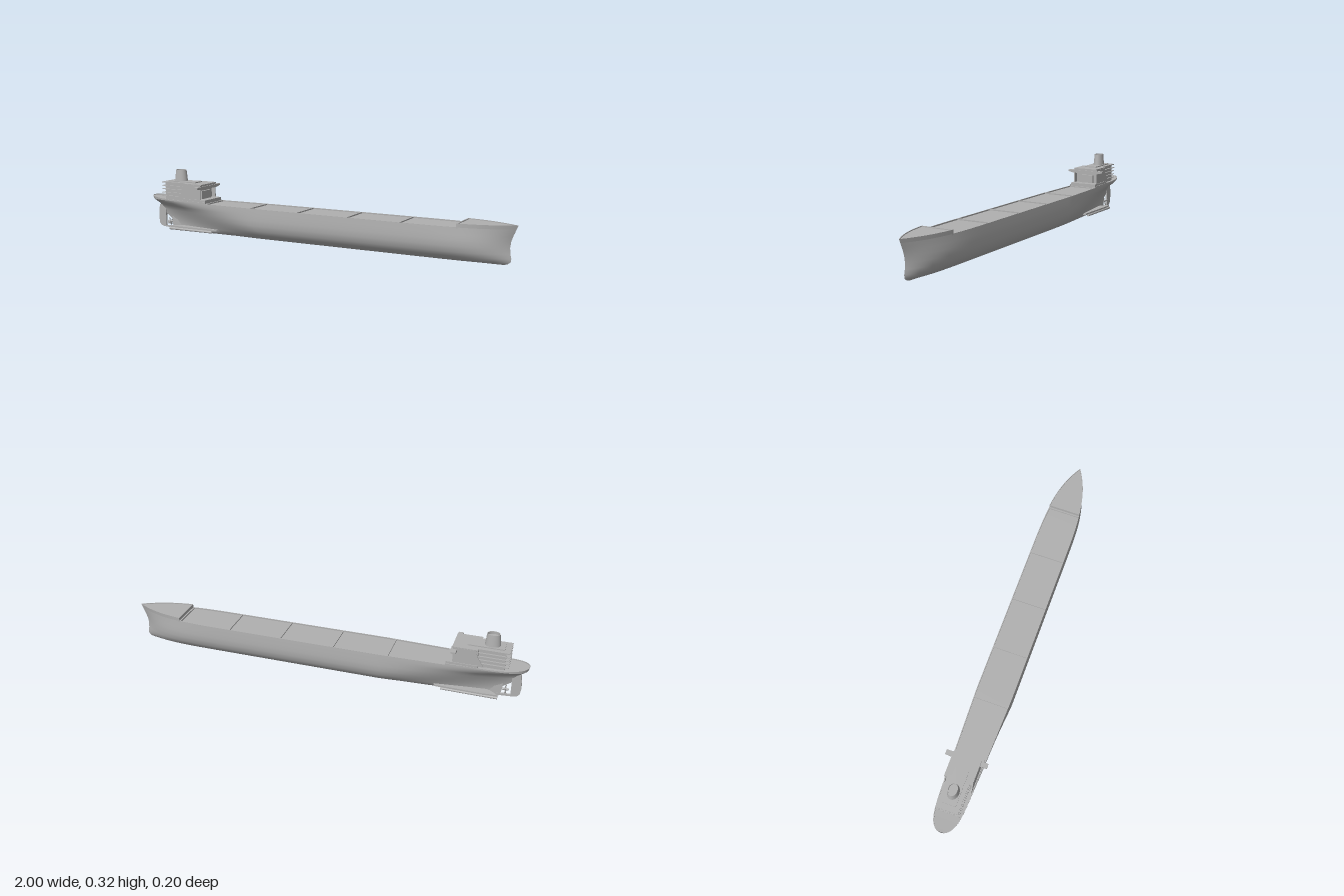
import * as THREE from 'three';

const grey = new THREE.MeshStandardMaterial({ color: 0xb0b0b0, side: THREE.DoubleSide });
grey.name = 'ship grey';

// Waterlines: height, half beam, stern x, stem x, stern p, stern q, stern taper, bow p
const LINES = [
  [0.000, 0.004, -0.87, 0.940, 6.0, 1.0, 0.0, 5.0],
  [0.005, 0.032, -0.87, 0.958, 1.6, 1.0, 0.4, 5.0],
  [0.014, 0.050, -0.87, 0.970, 1.5, 1.0, 0.5, 5.0],
  [0.030, 0.068, -0.87, 0.973, 1.5, 1.0, 0.5, 5.0],
  [0.052, 0.083, -0.88, 0.968, 1.6, 1.0, 0.5, 4.8],
  [0.080, 0.091, -0.92, 0.966, 2.0, 1.0, 0.4, 4.6],
  [0.108, 0.092, -0.945, 0.970, 2.6, 1.0, 0.35, 4.4],
  [0.132, 0.091, -0.962, 0.978, 4.0, 0.9, 0.3, 4.1],
  [0.150, 0.090, -0.982, 0.986, 8.0, 0.6, 0.26, 3.9],
  [0.165, 0.089, -0.995, 0.992, 14, 0.5, 0.25, 3.8],
];
const RAIL = LINES[LINES.length - 1];
const TOP = [0.183, 0.089, -1.0, 1.0, 14, 0.5, 0.25, 3.8];

// Half beam of a waterline at x
function halfBeam([, beam, stern, stem, p, q, c, bowP], x) {
  if (x < -0.3) {
    const t = Math.min(1, (-0.3 - x) / (-0.3 - stern));
    return beam * Math.pow(Math.max(0, 1 - Math.pow(t, p)), q) * (1 - c * t);
  }
  if (x > 0.45) {
    const t = Math.min(1, (x - 0.45) / (stem - 0.45));
    return beam * (1 - Math.pow(t, bowP));
  }
  return beam;
}

// Point on a waterline; u runs from x = a to x = b, cut off at stern and stem
function linePoint(line, u, a, b, side, inset = 0, y = line[0]) {
  const x0 = Math.max(a, line[2] + inset), x1 = Math.min(b, line[3] - inset * 2);
  const x = x0 + (x1 - x0) * (1 - Math.cos(Math.PI * u)) / 2;
  const z = Math.max(0, halfBeam(line, x) - inset);
  return [x, typeof y === 'function' ? y(x) : y, side * z];
}

// Surface from a grid of points: at(i, u) for column i and station u
function grid(columns, stations, at) {
  const pos = [], index = [];
  for (let s = 0; s <= stations; s++)
    for (let i = 0; i < columns; i++) pos.push(...at(i, s / stations));
  for (let s = 0; s < stations; s++)
    for (let i = 0; i < columns - 1; i++) {
      const a = s * columns + i, b = a + columns;
      index.push(a, b, a + 1, a + 1, b, b + 1);
    }
  const g = new THREE.BufferGeometry();
  g.setAttribute('position', new THREE.Float32BufferAttribute(pos, 3));
  g.setIndex(index);
  g.computeVertexNormals();
  return g;
}

function add(parent, name, geometry) {
  const mesh = new THREE.Mesh(geometry, grey);
  mesh.name = name;
  parent.add(mesh);
  return mesh;
}

// Box given by its limits, symmetric about z = 0 or centred on zc
function box(parent, name, x0, x1, y0, y1, halfZ, zc = 0) {
  const g = new THREE.BoxGeometry(x1 - x0, y1 - y0, halfZ * 2);
  return add(parent, name, g.translate((x0 + x1) / 2, (y0 + y1) / 2, zc));
}

// Plate cut from an outline in x and y, centred on z
function plate(parent, name, points, thickness, z = 0) {
  const shape = new THREE.Shape(points.map(p => new THREE.Vector2(...p)));
  const g = new THREE.ExtrudeGeometry(shape, { depth: thickness, bevelEnabled: false });
  return add(parent, name, g.translate(0, 0, z - thickness / 2));
}

// Raised or sunken deck with its outer side, rail top, inner wall and floor
function deckSection(parent, name, a, b, topLine, topY, floorDrop, inset) {
  const floorY = x => topY(x) - floorDrop;
  for (const side of [-1, 1]) {
    add(parent, name + 'Side', grid(2, 60, (i, u) =>
      i ? linePoint(topLine, u, a, b, side, 0, topY) : linePoint(RAIL, u, a, b, side)));
    add(parent, name + 'Rail', grid(2, 60, (i, u) => linePoint(topLine, u, a, b, side, i * inset, topY)));
    add(parent, name + 'InnerWall', grid(2, 60, (i, u) =>
      linePoint(topLine, u, a, b, side, inset, i ? floorY : topY)));
  }
  add(parent, name + 'Floor', grid(2, 60, (i, u) => linePoint(topLine, u, a, b, i * 2 - 1, inset, floorY)));
}

function buildHull(ship) {
  const hull = new THREE.Group();
  hull.name = 'hull';
  ship.add(hull);
  const n = LINES.length;
  add(hull, 'hullShell', grid(2 * n, 140, (i, u) =>
    i < n ? linePoint(LINES[n - 1 - i], u, -2, 2, -1) : linePoint(LINES[i - n], u, -2, 2, 1)));

  // Decks: poop with rising stern, main deck, forecastle
  const poopY = x => 0.172 + 0.01 * Math.pow(Math.max(0, (-0.85 - x) / 0.15), 1.5);
  deckSection(hull, 'poop', -2, -0.62, TOP, poopY, 0.004, 0.004);
  deckSection(hull, 'mainDeck', -0.62, 0.745, RAIL, () => 0.166, 0.006, 0.004);
  deckSection(hull, 'forecastle', 0.745, 2, TOP, () => 0.183, 0.004, 0.003);
  const w = halfBeam(TOP, 0.745);
  box(hull, 'forecastleBulkhead', 0.742, 0.748, 0.158, 0.183, w);

  // Cross beams dividing the main deck into five bays
  for (let i = 0; i <= 5; i++) {
    const x = -0.614 + i * 0.2705;
    box(hull, 'deckBeam', x - 0.004, x + 0.004, 0.156, 0.166, halfBeam(RAIL, x) - 0.001);
  }
}

function buildSternGear(ship) {
  const gear = new THREE.Group();
  gear.name = 'sternGear';
  ship.add(gear);
  // Rudder with rounded heel, and the sole piece below the propeller
  plate(gear, 'rudder', [[-0.925, 0.13], [-0.965, 0.13], [-0.97, 0.1], [-0.972, 0.06], [-0.968, 0.03],
    [-0.958, 0.017], [-0.94, 0.011], [-0.925, 0.011]], 0.01);
  plate(gear, 'solePiece', [[-0.94, 0.011], [-0.84, 0.004], [-0.84, 0.016], [-0.94, 0.018]], 0.01);
  plate(gear, 'skeg', [[-0.885, 0.085], [-0.885, 0.05], [-0.878, 0.012], [-0.7, 0.004], [-0.7, 0.085]], 0.008);

  // Propeller
  const propeller = new THREE.Group();
  propeller.name = 'propeller';
  propeller.position.set(-0.9, 0.042, 0);
  gear.add(propeller);
  add(propeller, 'hub', new THREE.CylinderGeometry(0.005, 0.006, 0.03, 16).rotateZ(Math.PI / 2));
  for (let i = 0; i < 4; i++) {
    const blade = new THREE.SphereGeometry(1, 12, 8).scale(0.002, 0.011, 0.006);
    blade.rotateY(0.6).translate(0, 0.013, 0).rotateX(i * Math.PI / 2 + 0.4);
    add(propeller, 'blade', blade);
  }

  // Side ledges and tunnels along the run
  for (const side of [-1, 1]) {
    const ledge = new THREE.Shape([[-0.55, 0], [-0.57, 0.046], [-0.8, 0.05], [-0.87, 0.045], [-0.83, 0.012], [-0.8, 0]]
      .map(([x, z]) => new THREE.Vector2(x, z * side)));
    const g = new THREE.ExtrudeGeometry(ledge, { depth: 0.008, bevelEnabled: false });
    add(gear, 'sideLedge', g.rotateX(Math.PI / 2).translate(0, 0.028, 0));
    const tunnel = new THREE.CylinderGeometry(0.007, 0.006, 0.27, 16).rotateZ(Math.PI / 2);
    add(gear, 'sideTunnel', tunnel.translate(-0.735, 0.013, side * 0.044));
  }
}

function buildHouse(ship) {
  const house = new THREE.Group();
  house.name = 'deckhouse';
  ship.add(house);
  box(house, 'houseBase', -0.77, -0.62, 0.16, 0.183, 0.073);
  box(house, 'aftHouse', -0.89, -0.75, 0.165, 0.258, 0.047);
  for (const y of [0.186, 0.204, 0.222, 0.24]) box(house, 'balcony', -0.908, -0.75, y, y + 0.003, 0.056);
  box(house, 'forwardHouse', -0.765, -0.672, 0.18, 0.258, 0.064);
  box(house, 'frontPanel', -0.675, -0.66, 0.18, 0.225, 0.04);

  // Side screens framing the recessed front
  for (const side of [-1, 1])
    plate(house, 'sideScreen', [[-0.795, 0.178], [-0.65, 0.178], [-0.65, 0.258], [-0.755, 0.258], [-0.765, 0.225]],
      0.005, side * 0.0665);

  // Bridge with tapered wings
  const wings = new THREE.Shape([[-0.102, 0.243], [-0.07, 0.236], [0.07, 0.236], [0.102, 0.243], [0.102, 0.251], [-0.102, 0.251]]
    .map(p => new THREE.Vector2(...p)));
  const wingGeometry = new THREE.ExtrudeGeometry(wings, { depth: 0.024, bevelEnabled: false });
  add(house, 'bridgeWings', wingGeometry.rotateY(Math.PI / 2).translate(-0.668, 0, 0));
  box(house, 'bridge', -0.76, -0.65, 0.236, 0.26, 0.067);
  box(house, 'bridgeRoof', -0.765, -0.645, 0.258, 0.262, 0.068);
  box(house, 'topDeck', -0.908, -0.75, 0.257, 0.262, 0.054);
  box(house, 'funnelBase', -0.88, -0.71, 0.261, 0.267, 0.033);

  // Tapered oval funnel with an open top
  const profile = [[0.037, 0.264], [0.030, 0.325], [0.027, 0.325], [0.027, 0.312], [0, 0.312]]
    .map(p => new THREE.Vector2(...p));
  const parts = [[0, 2], [1, 3], [2, 4], [3, 5]];
  for (const [a, b] of parts) {
    const g = new THREE.LatheGeometry(profile.slice(a, b), 40);
    add(house, 'funnel', g.scale(1, 1, 0.75).translate(-0.82, 0, 0));
  }
}

export function createModel() {
  const ship = new THREE.Group();
  ship.name = 'cargoShip';
  buildHull(ship);
  buildSternGear(ship);
  buildHouse(ship);
  return ship;
}
